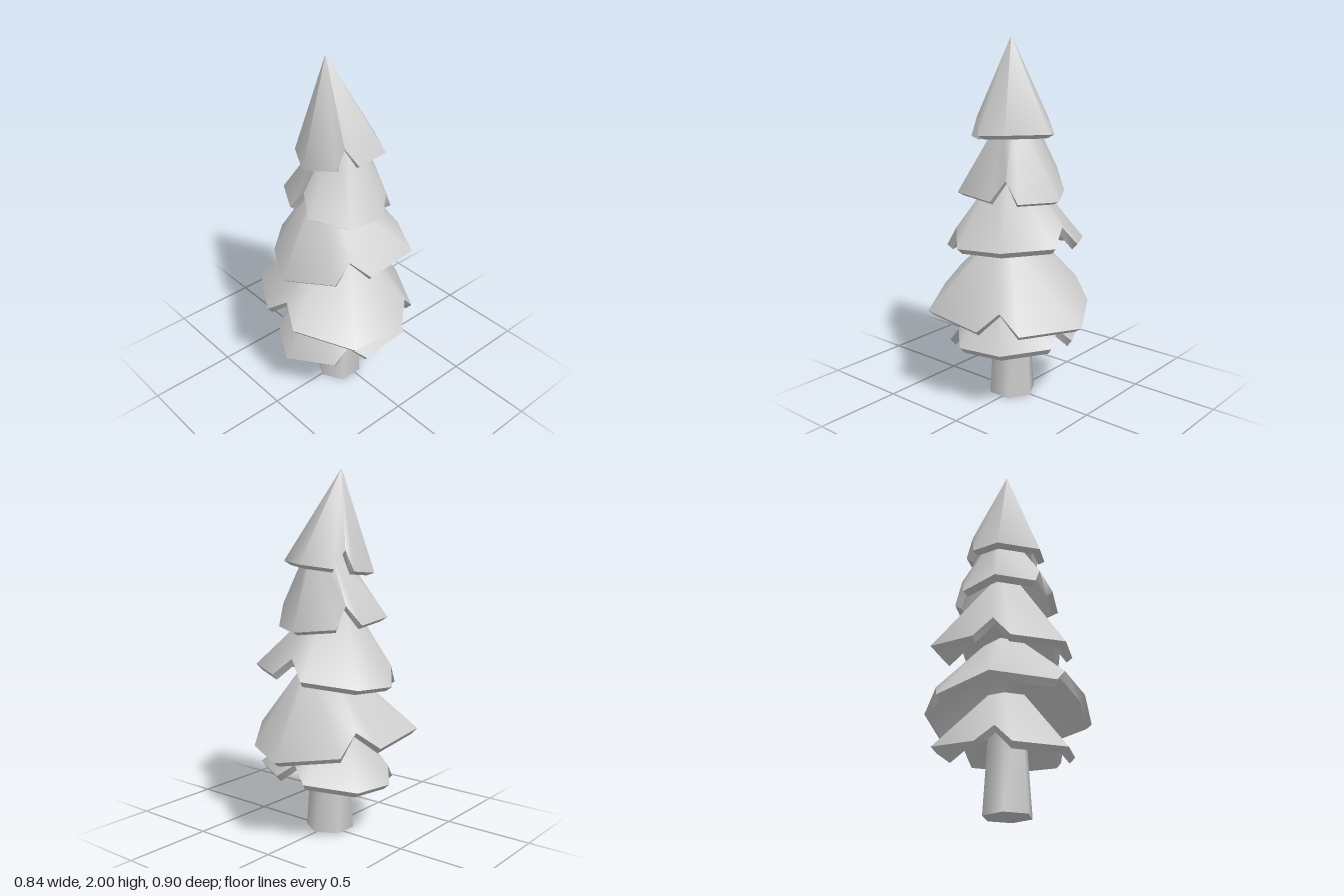
import * as THREE from 'three';
import { toCreasedNormals } from 'three/addons/utils/BufferGeometryUtils.js';

const material = new THREE.MeshStandardMaterial({ color: 0xcccccc });
const SIDES = 6, THICKNESS = 0.045, NOTCH_WIDTH = 0.27, NOTCH_DEPTH = 0.2;

// Lower to upper: centre of the rim, radii, height, tilt (rise along x and z), notched corners
const TIERS = [
  { at: [0, 0.325, 0.02], R: 0.40, r: 0.11, h: 0.30, tilt: [0.06, -0.10], notches: [1, 3, 5] },
  { at: [0, 0.54, 0.03], R: 0.485, r: 0.12, h: 0.40, tilt: [-0.07, 0.11], notches: [0, 2, 4] },
  { at: [0, 0.885, 0.01], R: 0.415, r: 0.09, h: 0.40, tilt: [0.08, -0.10], notches: [1, 3, 5] },
  { at: [0, 1.185, 0.02], R: 0.315, r: 0.08, h: 0.42, tilt: [-0.04, 0.10], notches: [0, 2, 4] },
  { at: [0.005, 1.48, 0.015], R: 0.25, r: 0.002, h: 0.523, tilt: [0.087, -0.096], notches: [1, 4] },
];

// Hollow six-sided skirt with V notches cut into some of its corners
function skirtGeometry({ R, r, h, notches }) {
  const slope = h / (R - r), len = Math.hypot(h, R - r);
  const inset = THICKNESS * h / len, drop = THICKNESS * (R - r) / len;
  const positions = [];
  const corner = k => {
    const a = k * Math.PI * 2 / SIDES;
    return new THREE.Vector3(Math.sin(a), 0, Math.cos(a));
  };
  // Point on the outer or inner skin; rho is the ring radius at that height
  const skin = (dir, rho, inner) => {
    const rr = inner ? Math.max(rho - inset, 0.001) : rho;
    const y = (R - rr) * slope - (inner ? drop + inset * slope : 0);
    return dir.clone().multiplyScalar(rr).setY(y);
  };
  const polygon = (pts, flip) => {
    for (let i = 1; i < pts.length - 1; i++) {
      const tri = flip ? [pts[0], pts[i + 1], pts[i]] : [pts[0], pts[i], pts[i + 1]];
      tri.forEach(p => positions.push(p.x, p.y, p.z));
    }
  };
  // Lower edge of one side, running from corner k to corner k + 1
  const lowerEdge = (k, inner) => {
    const a = corner(k), b = corner(k + 1);
    const end = (from, to, index) => notches.includes(index % SIDES)
      ? [skin(from, R * (1 - NOTCH_DEPTH), inner), skin(from.clone().lerp(to, NOTCH_WIDTH), R, inner)]
      : [skin(from, R, inner)];
    return [...end(a, b, k), ...end(b, a, k + 1).reverse()];
  };

  for (let k = 0; k < SIDES; k++) {
    const outer = lowerEdge(k, false), inner = lowerEdge(k, true);
    for (const [edge, isInner] of [[outer, false], [inner, true]]) {
      const t0 = skin(corner(k), r, isInner), t1 = skin(corner(k + 1), r, isInner);
      polygon([t0, ...edge, t1], isInner);
      // Lid above, ceiling inside
      polygon([new THREE.Vector3(0, t0.y, 0), t0, t1], isInner);
    }
    // Thick rim
    for (let i = 0; i < outer.length - 1; i++) {
      polygon([outer[i], inner[i], inner[i + 1], outer[i + 1]]);
    }
  }
  const geometry = new THREE.BufferGeometry();
  geometry.setAttribute('position', new THREE.Float32BufferAttribute(positions, 3));
  return toCreasedNormals(geometry, 1.1);
}

export function createModel() {
  const tree = new THREE.Group();
  tree.name = 'firTree';

  // Tapered six-sided trunk
  const trunk = new THREE.Mesh(
    toCreasedNormals(new THREE.CylinderGeometry(0.095, 0.134, 0.6, SIDES), 1.1), material);
  trunk.name = 'trunk';
  trunk.position.set(0.005, 0.3, 0.025);
  tree.add(trunk);

  // Stacked, slightly tilted branch tiers
  const up = new THREE.Vector3(0, 1, 0);
  TIERS.forEach((tier, i) => {
    const mesh = new THREE.Mesh(skirtGeometry(tier), material);
    mesh.name = `branchTier${i + 1}`;
    mesh.position.set(...tier.at);
    const normal = new THREE.Vector3(-tier.tilt[0], 1, -tier.tilt[1]).normalize();
    mesh.quaternion.setFromUnitVectors(up, normal);
    tree.add(mesh);
  });
  return tree;
}
